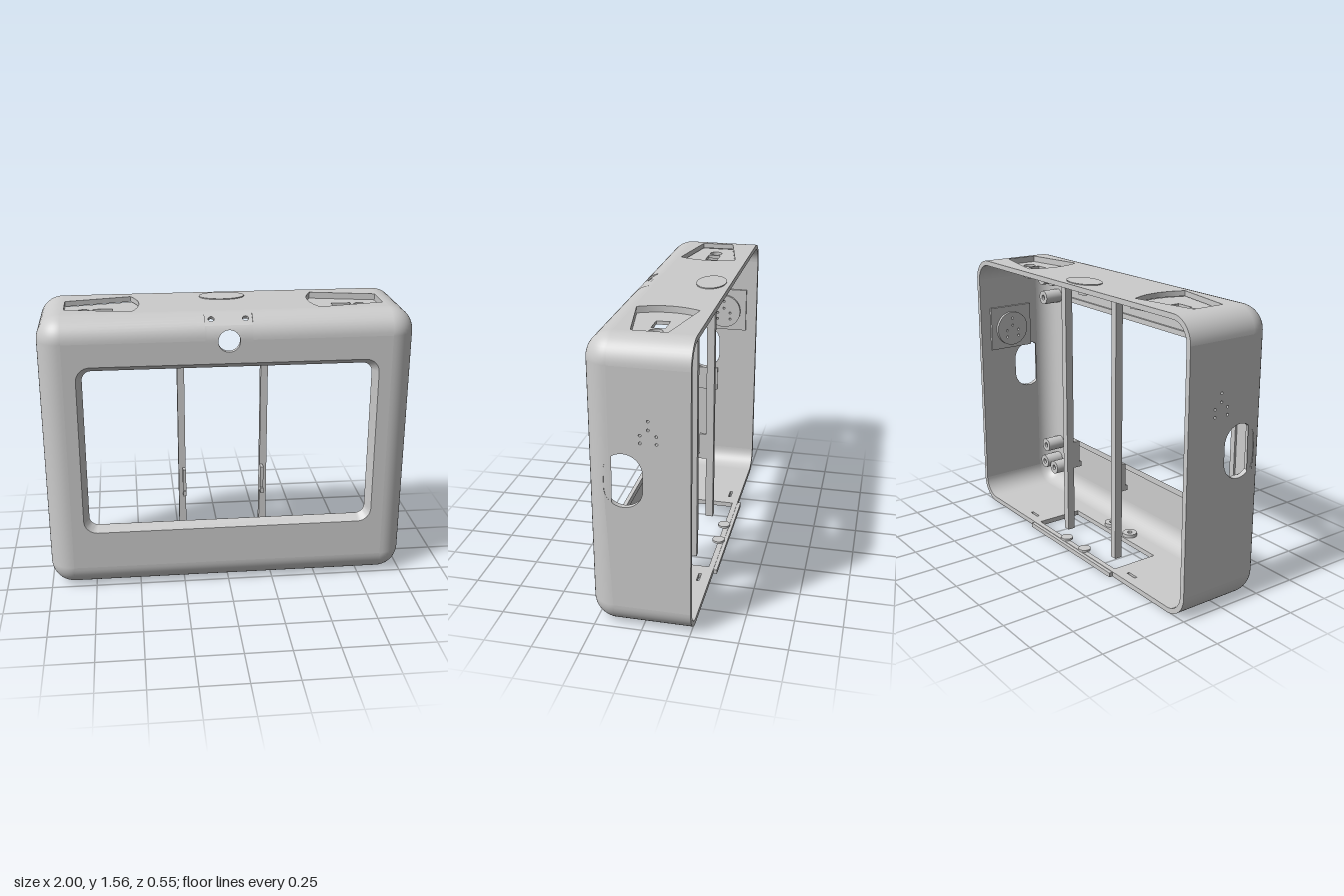
import * as THREE from 'three';
import { toCreasedNormals } from 'three/addons/utils/BufferGeometryUtils.js';

const H = 1.555, R = 0.13, T = 0.028;          // height, edge radius, wall thickness
const BACK = -0.255, FRONT = 0.275, ZC = FRONT - R;
const X = 1 - R, Y0 = R, Y1 = H - R;           // centres of the rounded edges
const Q = Math.PI / 2;
const mat = new THREE.MeshStandardMaterial({ color: 0xcccccc });
const innerMat = new THREE.MeshStandardMaterial({ color: 0xcccccc, side: THREE.BackSide });

export function createModel() {
  const model = new THREE.Group();

  const add = (name, geo, x = 0, y = 0, z = 0, m = mat) => {
    const mesh = new THREE.Mesh(geo, m);
    mesh.name = name;
    mesh.position.set(x, y, z);
    model.add(mesh);
    return mesh;
  };
  const box = (name, x0, x1, y0, y1, z0, z1) =>
    add(name, new THREE.BoxGeometry(x1 - x0, y1 - y0, z1 - z0), (x0 + x1) / 2, (y0 + y1) / 2, (z0 + z1) / 2);
  const poly = (pts) => new THREE.Shape(pts.map((p) => new THREE.Vector2(...p)));
  const rect = (x0, x1, y0, y1) => poly([[x0, y0], [x1, y0], [x1, y1], [x0, y1]]);
  const circle = (x, y, r, ry = r) => new THREE.Shape().absellipse(x, y, r, ry, 0, Math.PI * 2);
  const extrude = (shape, depth, holes = [], segs = 12) => {
    shape.holes.push(...holes);
    const g = new THREE.ExtrudeGeometry(shape, { depth, bevelEnabled: false, curveSegments: segs });
    return toCreasedNormals(g, 0.6);
  };
  // Shape drawn in (x, z), thickness going down from the given height
  const slab = (...a) => extrude(...a).rotateX(Q);
  // Shape drawn in (z, y), thickness going towards -x
  const sideSlab = (...a) => extrude(...a).rotateY(-Q);
  const ring = (a0, a1) => new THREE.Shape().absarc(0, 0, R, a0, a1, false).absarc(0, 0, R - T, a1, a0, true);
  // Skin over successive closed rings of points
  const loft = (rings) => {
    const n = rings[0].length, idx = [];
    for (let i = 0; i < rings.length - 1; i++)
      for (let j = 0; j < n; j++) {
        const a = i * n + j, b = i * n + (j + 1) % n;
        idx.push(a, b, b + n, a, b + n, a + n);
      }
    const g = new THREE.BufferGeometry();
    g.setAttribute('position', new THREE.Float32BufferAttribute(rings.flat(2), 3));
    g.setIndex(idx);
    return toCreasedNormals(g, 0.6);
  };
  const roundRect = (x, y0, y1, r) => {
    const pts = [];
    [[x, y1], [-x, y1], [-x, y0], [x, y0]].forEach(([cx, cy], k) => {
      const ox = cx - Math.sign(cx) * r, oy = cy + (cy === y0 ? r : -r);
      for (let i = 0; i <= 8; i++) {
        const a = (k + i / 8) * Q;
        pts.push([ox + r * Math.cos(a), oy + r * Math.sin(a)]);
      }
    });
    return pts;
  };

  // Top wall with two pocket openings
  const pocket = (s, g) => {
    const p = new THREE.Shape();
    p.moveTo(s * (0.855 + g), -0.115 - g).lineTo(s * (0.855 + g), 0.065 + g);
    p.lineTo(s * (0.5 - g), 0.13 + g);
    p.quadraticCurveTo(s * (0.415 - g), -0.03, s * (0.5 - g), -0.19 - g);
    return p.closePath();
  };
  add('topWall', slab(rect(-X, X, BACK, ZC), T, [pocket(1, 0), pocket(-1, 0)]), 0, H);
  for (const s of [1, -1]) {
    const xs = [s * 0.6, s * 0.705].sort((a, b) => a - b);
    add('pocketRim', slab(pocket(s, 0.018), 0.02, [pocket(s, 0)]), 0, H - T + 0.002);
    add('pocketFloor', slab(pocket(s, 0.018), 0.018,
      [circle(s * 0.755, -0.03, 0.035), rect(xs[0], xs[1], -0.065, 0.005)]), 0, H - T - 0.006);
  }
  add('topButton', slab(circle(0, -0.15, 0.125, 0.08), 0.02), 0, 1.56);
  add('buttonBoss', slab(circle(0, -0.15, 0.032), 0.04, [circle(0, -0.15, 0.014)]), 0, H - T);

  // Bottom wall with battery opening, slots and screw holes
  add('bottomWall', slab(rect(-X, X, BACK, ZC), T, [
    rect(-0.38, 0.38, -0.225, 0.05), rect(0.46, 0.53, -0.2, -0.185), rect(-0.53, -0.46, -0.2, -0.185),
    circle(0.09, 0.1, 0.014), circle(-0.09, 0.1, 0.014)]), 0, T);
  box('backTab', -0.4, 0.4, 0, 0.025, -0.275, BACK);
  for (const s of [1, -1]) {
    add('floorBoss', slab(circle(s * 0.09, 0.1, 0.042), 0.02, [circle(s * 0.09, 0.1, 0.014)]), 0, T + 0.02);
    add('catch', slab(circle(s * 0.09, -0.225, 0.035), 0.012), 0, T + 0.012);
  }

  // Side walls with oval openings and speaker holes
  const dots = [[-0.05, 1.165], [-0.05, 1.12], [-0.01, 1.09], [-0.09, 1.09], [-0.01, 1.05], [-0.09, 1.05]];
  const dotHoles = () => dots.map(([z, y]) => circle(z, y, 0.007));
  const oval = () => new THREE.Shape().absarc(0.078, 0.889, 0.097, 0, Math.PI).absarc(0.078, 0.797, 0.097, Math.PI, Math.PI * 2);
  for (const s of [1, -1]) {
    add('sideWall', sideSlab(rect(BACK, ZC, Y0, Y1), T, [oval(), ...dotHoles()], 8), s > 0 ? 1 : -1 + T);
    // Speaker mount on the inside
    const inner = 1 - T;
    add('speakerPlate', sideSlab(rect(-0.19, 0.09, 0.975, 1.24), 0.014, dotHoles(), 8), s > 0 ? inner : -inner + 0.014);
    add('speakerRing', sideSlab(circle(-0.05, 1.1, 0.105), 0.018, dotHoles(), 12), s > 0 ? inner - 0.014 : -inner + 0.032);
  }
  box('sidePlate', -1 + T, -1 + T + 0.012, 0.55, 0.7, -0.01, 0.18);

  // Rounded corners and edges
  [[X, Y1], [-X, Y1], [-X, Y0], [X, Y0]].forEach(([x, y], k) => {
    add('cornerColumn', extrude(ring(k * Q, (k + 1) * Q), ZC - BACK, [], 6), x, y, BACK);
    const sphere = (r) => new THREE.SphereGeometry(r, 12, 12, x > 0 ? Q : 0, Q, y === Y1 ? 0 : Q, Q);
    add('cornerOuter', sphere(R), x, y, ZC);
    add('cornerInner', sphere(R - T), x, y, ZC, innerMat);
  });
  const A0 = Math.asin(0.075 / R), A1 = Math.acos(0.03 / R);   // notch limits on the top edge
  const edge = (name, a0, a1, xEnd, len, y) => add(name, sideSlab(ring(a0, a1), len, [], 6), xEnd, y, ZC);
  edge('bottomEdge', -Q, 0, X, 2 * X, Y0);
  edge('topEdgeLeft', 0, Q, X, X - 0.125, Y1);
  edge('topEdgeRight', 0, Q, -0.125, X - 0.125, Y1);
  edge('topEdgeMiddle', A1, Q, 0.125, 0.25, Y1);
  add('sideEdgeLeft', slab(ring(0, Q), Y1 - Y0, [], 6), X, Y1, ZC);
  add('sideEdgeRight', slab(ring(Q, 2 * Q), Y1 - Y0, [], 6), -X, Y1, ZC);

  // Front panel with a bevelled window
  const panel = poly([[-X, Y0], [X, Y0], [X, Y1], [0.125, Y1], [0.125, 1.32], [-0.125, 1.32], [-0.125, Y1], [-X, Y1]]);
  const win = roundRect(0.803, 0.343, 1.3, 0.075), winIn = roundRect(0.772, 0.378, 1.27, 0.05);
  add('frontPanel', extrude(panel, T, [poly(win)]), 0, 0, FRONT - T);
  const at = (pts, z) => pts.map(([x, y]) => [x, y, z]);
  add('windowBevel', loft([at(win, FRONT), at(winIn, FRONT - 0.04), at(win, FRONT - 0.04), at(win, FRONT - T)]));

  // Patch around the camera hole, wrapped over the rounded top edge
  const wrap = (x, s, d) => s <= 0 ? [x, Y1 + s, FRONT - d]
    : [x, Y1 + (R - d) * Math.sin(s / R), ZC + (R - d) * Math.cos(s / R)];
  const s0 = 1.32 - Y1, s1 = A0 * R, cy = 1.42, hr = 0.058, border = [];
  const corners = [[0.125, s0], [0.125, s1], [-0.125, s1], [-0.125, s0]];
  corners.forEach(([x, s], k) => {
    const [nx, ns] = corners[(k + 1) % 4];
    for (let i = 0; i < 12; i++) border.push([x + (nx - x) * i / 12, s + (ns - s) * i / 12]);
  });
  const patchRing = (f, d) => border.map(([x, s]) => {
    const a = Math.atan2(s + Y1 - cy, x), dy = cy + hr * Math.sin(a) - Y1;
    const hs = dy > 0 ? R * Math.asin(dy / (R - d)) : dy;
    return wrap(x + (hr * Math.cos(a) - x) * f, s + (hs - s) * f, d);
  });
  const steps = [0, 0.2, 0.4, 0.6, 0.8, 1];
  add('cameraSurround', loft([...steps.map((f) => patchRing(f, 0)), ...steps.reverse().map((f) => patchRing(f, T))]));

  // Flat notch plate with two screw holes, and its inner bracket
  const ya = Y1 + 0.075, za = ZC + R * Math.cos(A0), yb = Y1 + R * Math.sin(A1), zb = ZC + 0.03;
  const half = Math.hypot(yb - ya, zb - za) / 2;
  const plate = extrude(rect(-0.125, 0.125, -half, half), 0.02, [circle(0.09, 0, 0.016), circle(-0.09, 0, 0.016)]);
  plate.translate(0, 0, -0.02);
  add('notchPlate', plate, 0, (ya + yb) / 2, (za + zb) / 2).rotation.x = Math.atan2(zb - za, yb - ya);
  for (const s of [1, -1]) box('cameraBracket', s * 0.085 - 0.01, s * 0.085 + 0.01, 1.38, 1.49, 0.16, FRONT - T);

  // Vertical rails with small clips
  for (const s of [1, -1]) {
    box('rail', s * 0.237 - 0.02, s * 0.237 + 0.02, 0.01, H - T, -0.13, -0.085);
    box('railClip', s * 0.226 - 0.009, s * 0.226 + 0.009, 0.42, 0.56, -0.085, -0.045);
    box('railClipFoot', s * 0.226 - 0.009, s * 0.226 + 0.009, 0.4, 0.43, -0.085, -0.03);
  }

  // Screw posts in the front corners
  for (const s of [1, -1])
    for (const top of [false, true])
      for (const [x, y] of [[0.87, 0.3], [0.89, 0.18], [0.78, 0.17]])
        add('screwPost', extrude(circle(0, 0, 0.042), 0.12, [circle(0, 0, 0.016)]), s * x, top ? H - y + 0.03 : y, 0.135);

  return model;
}
